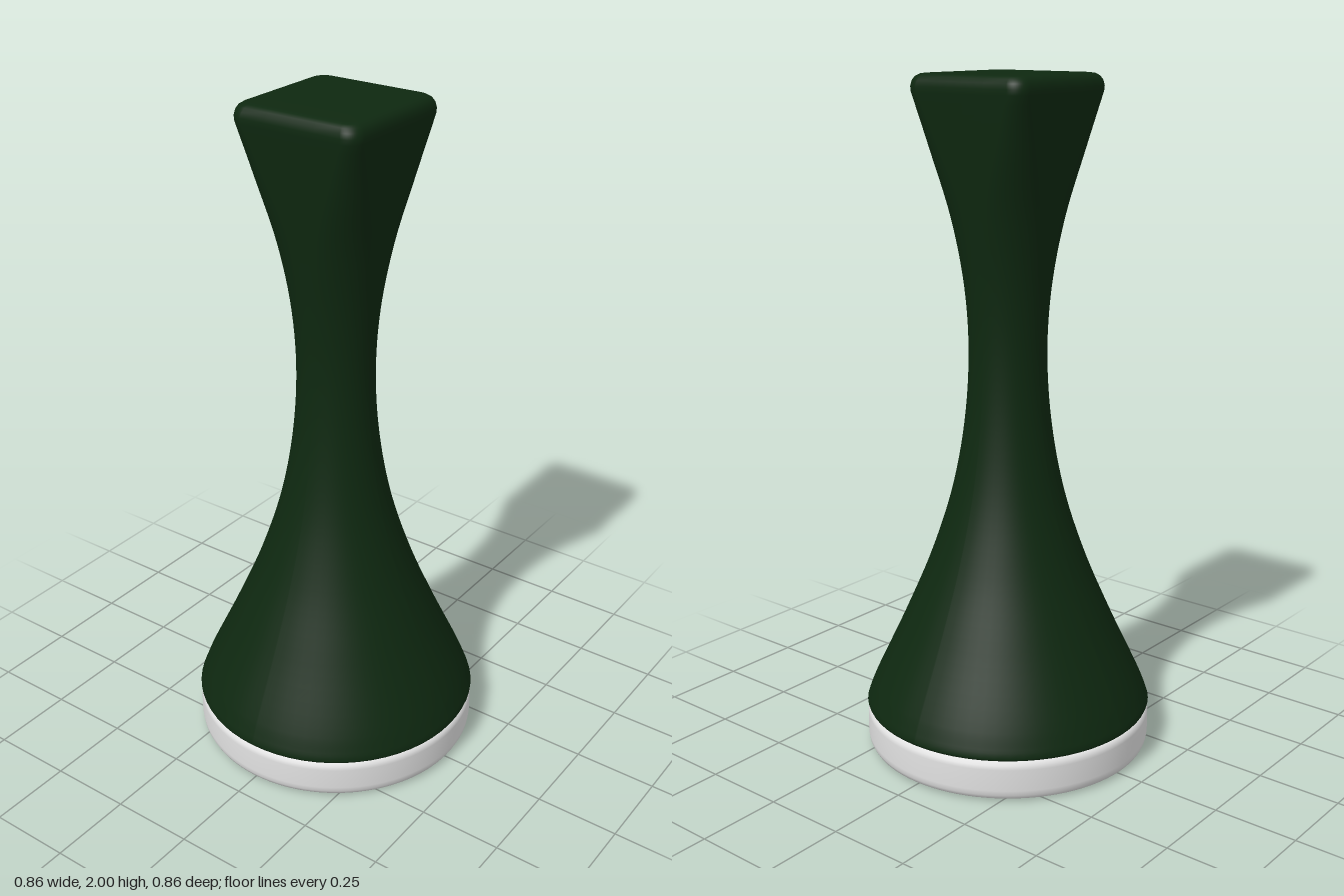
import * as THREE from 'three';

const green = new THREE.MeshStandardMaterial({ color: 0x0e2810 });
green.name = 'dark green';
const white = new THREE.MeshStandardMaterial({ color: 0xe2e2e2 });
white.name = 'off white';

// Point and outline of a rounded square: half width w, corner radius r
const ARC = 16, FLAT = 4;
function roundedSquare(w, r) {
  const pts = [];
  const c = w - r;
  for (let q = 0; q < 4; q++) {
    const a0 = q * Math.PI / 2;
    const cos = Math.cos(a0), sin = Math.sin(a0);
    const add = (x, z) => pts.push([x * cos - z * sin, x * sin + z * cos]);
    for (let i = 0; i <= ARC; i++) {
      const a = (i / ARC) * Math.PI / 2;
      add(c + r * Math.cos(a), c + r * Math.sin(a));
    }
    // Straight run to the next corner
    for (let i = 1; i < FLAT; i++) add(c * (1 - 2 * i / FLAT), w);
  }
  return pts;
}

// Smooth skin through rings of [half width, height, corner radius], capped at both ends
function loft(rings) {
  const pos = [], idx = [];
  const n = roundedSquare(1, 0.5).length;
  for (const [w, y, r] of rings) {
    for (const [x, z] of roundedSquare(w, Math.min(r, w * 0.995))) pos.push(x, y, z);
  }
  for (let k = 0; k < rings.length - 1; k++) {
    for (let i = 0; i < n; i++) {
      const j = (i + 1) % n;
      const a = k * n + i, b = k * n + j, c = a + n, d = b + n;
      idx.push(a, c, b, b, c, d);
    }
  }
  const last = rings.length - 1;
  const bottom = pos.length / 3, top = bottom + 1;
  pos.push(0, rings[0][1], 0, 0, rings[last][1], 0);
  for (let i = 0; i < n; i++) {
    const j = (i + 1) % n;
    idx.push(bottom, i, j, top, last * n + j, last * n + i);
  }
  const g = new THREE.BufferGeometry();
  g.setAttribute('position', new THREE.Float32BufferAttribute(pos, 3));
  g.setIndex(idx);
  g.computeVertexNormals();
  return g;
}

export function createModel() {
  const group = new THREE.Group();

  // Waisted body: round at the foot, square at the head
  const side = new THREE.CatmullRomCurve3([
    [0.425, 0.15, 0.425], [0.405, 0.2, 0.405], [0.312, 0.4, 0.312],
    [0.228, 0.6, 0.228], [0.165, 0.8, 0.165], [0.128, 1.0, 0.128],
    [0.114, 1.2, 0.114], [0.123, 1.4, 0.118], [0.148, 1.6, 0.115],
    [0.18, 1.8, 0.08], [0.203, 1.95, 0.045],
  ].map((p) => new THREE.Vector3(...p)));
  const rings = [
    [0.3, 0.122, 0.3], [0.415, 0.123, 0.415], [0.427, 0.128, 0.427], [0.43, 0.135, 0.43],
    ...side.getPoints(60).map((p) => p.toArray()),
    [0.204, 1.965, 0.045], [0.201, 1.98, 0.045], [0.194, 1.991, 0.042],
    [0.183, 1.998, 0.037], [0.17, 2.0, 0.03], [0.1, 2.0, 0.02],
  ];
  const body = new THREE.Mesh(loft(rings), green);
  body.name = 'body';
  group.add(body);

  // Round base disc with softened edges
  const profile = [
    [0, 0], [0.38, 0], [0.41, 0.002], [0.422, 0.008], [0.428, 0.02], [0.43, 0.035],
    [0.43, 0.1], [0.428, 0.113], [0.42, 0.121], [0.405, 0.124], [0, 0.124],
  ].map(([x, y]) => new THREE.Vector2(x, y));
  const base = new THREE.Mesh(new THREE.LatheGeometry(profile, 96), white);
  base.name = 'base';
  group.add(base);

  return group;
}
